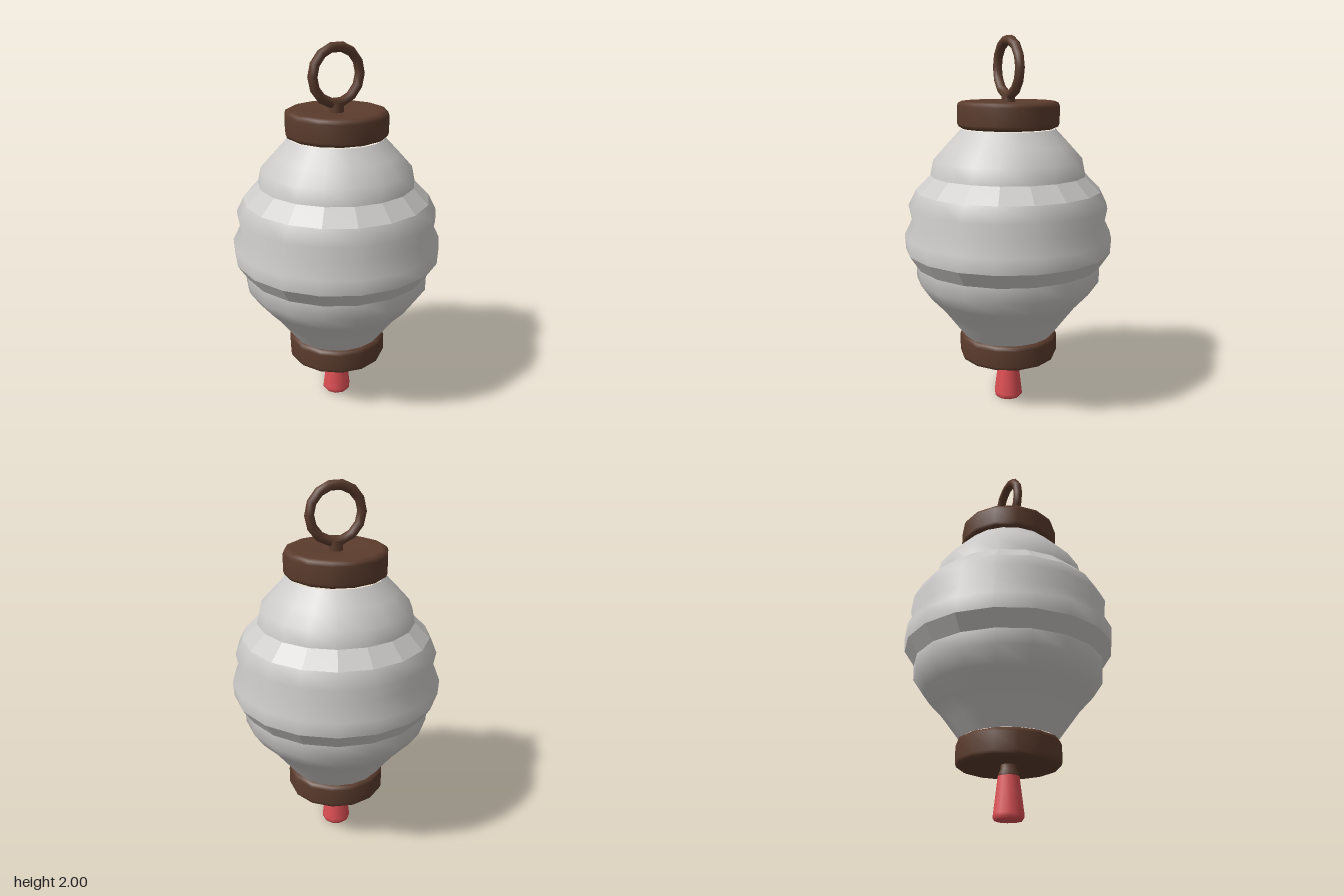
import * as THREE from 'three';

export function createModel() {
  const model = new THREE.Group();
  const paper = new THREE.MeshStandardMaterial({ color: 0xcccac8 });
  paper.name = 'pale paper';
  const wood = new THREE.MeshStandardMaterial({ color: 0x5b3c2d });
  wood.name = 'dark wood';
  const red = new THREE.MeshStandardMaterial({ color: 0xdd5054 });
  red.name = 'tassel red';

  const add = (name, geometry, material, y = 0, parent = model) => {
    const mesh = new THREE.Mesh(geometry, material);
    mesh.name = name;
    mesh.position.y = y;
    parent.add(mesh);
    return mesh;
  };
  // Profiles are [radius, height], listed from the bottom up
  const lathe = (points, sides) =>
    new THREE.LatheGeometry(points.map(([r, y]) => new THREE.Vector2(r, y)), sides);
  const faceted = (geometry) => {
    const flat = geometry.toNonIndexed();
    flat.computeVertexNormals();
    return flat;
  };

  // Paper body: evenly spaced rows, smooth except for two faceted bands
  const radii = [0.25, 0.31, 0.37, 0.445, 0.5, 0.502, 0.555, 0.56, 0.52, 0.535, 0.495, 0.415, 0.398, 0.325, 0.25];
  const rows = radii.map((r, i) => [r, 0.395 + i * 0.0804]);
  const body = new THREE.Group();
  body.name = 'paperBody';
  model.add(body);
  [
    ['lowerPaper', 0, 5, false],
    ['lowerBand', 5, 6, true],
    ['middlePaper', 6, 10, false],
    ['upperBand', 10, 11, true],
    ['upperPaper', 11, 14, false],
  ].forEach(([name, from, to, flat]) => {
    const geometry = lathe(rows.slice(from, to + 1), 18);
    add(name, flat ? faceted(geometry) : geometry, paper, 0, body);
  });

  // Rounded end caps, each with a shallow dish on both faces
  const capHalf = [[0.27, 0.045], [0.263, 0.062], [0.245, 0.07], [0.235, 0.07], [0.12, 0.07], [0.105, 0.055], [0, 0.055]];
  const capProfile = [...capHalf.map(([r, y]) => [r, -y]).reverse(), ...capHalf];
  add('topCap', lathe(capProfile, 14), wood, 1.594);
  add('bottomCap', lathe(capProfile, 14), wood, 0.326);

  // Hanging ring and its mount
  add('hangingRing', new THREE.TorusGeometry(0.14, 0.026, 8, 14), wood, 1.834);
  add('ringMount', new THREE.CylinderGeometry(0.038, 0.038, 0.06, 8), wood, 1.673);

  // Tassel with its knot
  add('tasselKnot', lathe([[0, 0.2], [0.052, 0.2], [0.054, 0.225], [0.042, 0.25], [0.04, 0.28]], 10), wood);
  add('tassel', lathe([[0, 0], [0.07, 0], [0.079, 0.012], [0.079, 0.03], [0.056, 0.214]], 10), red);
  add('tasselTop', new THREE.CircleGeometry(0.056, 10).rotateX(-Math.PI / 2), red, 0.214);

  return model;
}
